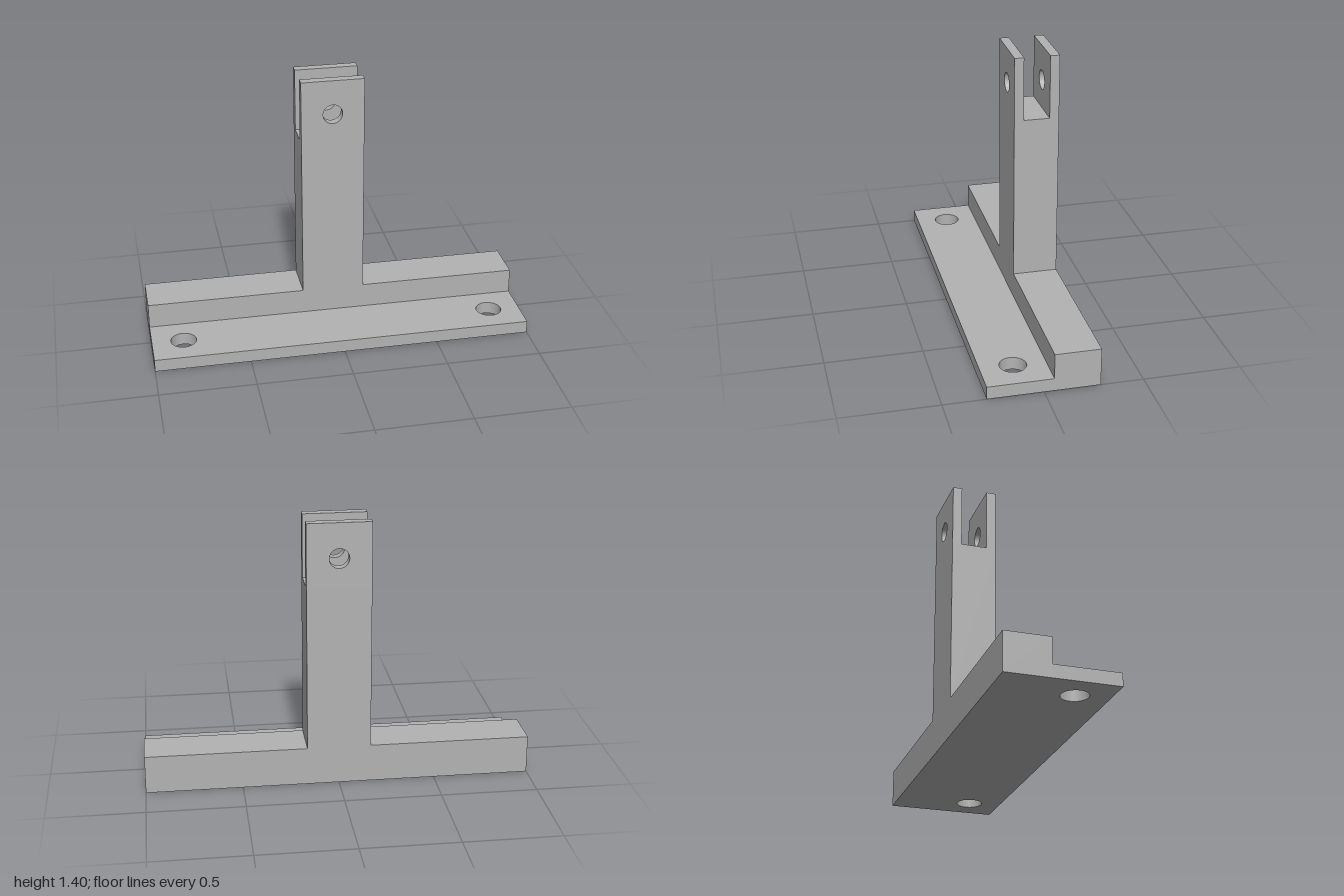
import * as THREE from 'three';

export function createModel() {
  const group = new THREE.Group();
  group.name = 'clevisBracket';
  const grey = new THREE.MeshStandardMaterial({ color: 0xb3b3b3 });
  grey.name = 'plain grey';

  const back = -0.283, ribFront = -0.05, front = 0.283;
  const flangeTop = 0.067, ribTop = 0.2, slotFloor = 1.067, postTop = 1.4;
  const postHalf = 0.165, prongThickness = 0.049;

  const outline = (points) => new THREE.Shape(points.map(([x, y]) => new THREE.Vector2(x, y)));
  const addHole = (shape, x, y, r) => {
    const hole = new THREE.Path();
    hole.absarc(x, y, r, 0, Math.PI * 2, true);
    shape.holes.push(hole);
  };
  const extrude = (shape, depth) =>
    new THREE.ExtrudeGeometry(shape, { depth, bevelEnabled: false, curveSegments: 32 });
  const addPart = (name, geometry, y, z) => {
    const mesh = new THREE.Mesh(geometry, grey);
    mesh.name = name;
    mesh.position.set(0, y, z);
    group.add(mesh);
  };

  // Mounting flange with two bolt holes, drawn flat and laid down
  const flange = outline([[-1, -front], [1, -front], [1, -ribFront], [-1, -ribFront]]);
  for (const side of [-1, 1]) addHole(flange, side * 0.833, -0.115, 0.068);
  addPart('mountingFlange', extrude(flange, flangeTop).rotateX(-Math.PI / 2), 0, 0);

  // Raised rib and solid post as one inverted T
  const body = outline([
    [-1, 0], [1, 0], [1, ribTop], [postHalf, ribTop], [postHalf, slotFloor],
    [-postHalf, slotFloor], [-postHalf, ribTop], [-1, ribTop],
  ]);
  addPart('ribAndPost', extrude(body, ribFront - back), 0, back);

  // Two fork prongs with a pin hole, either side of the slot
  const prong = outline([
    [-postHalf, slotFloor], [postHalf, slotFloor], [postHalf, postTop], [-postHalf, postTop],
  ]);
  addHole(prong, 0, 1.217, 0.051);
  const prongGeometry = extrude(prong, prongThickness);
  addPart('frontProng', prongGeometry, 0, ribFront - prongThickness);
  addPart('backProng', prongGeometry, 0, back);

  return group;
}
